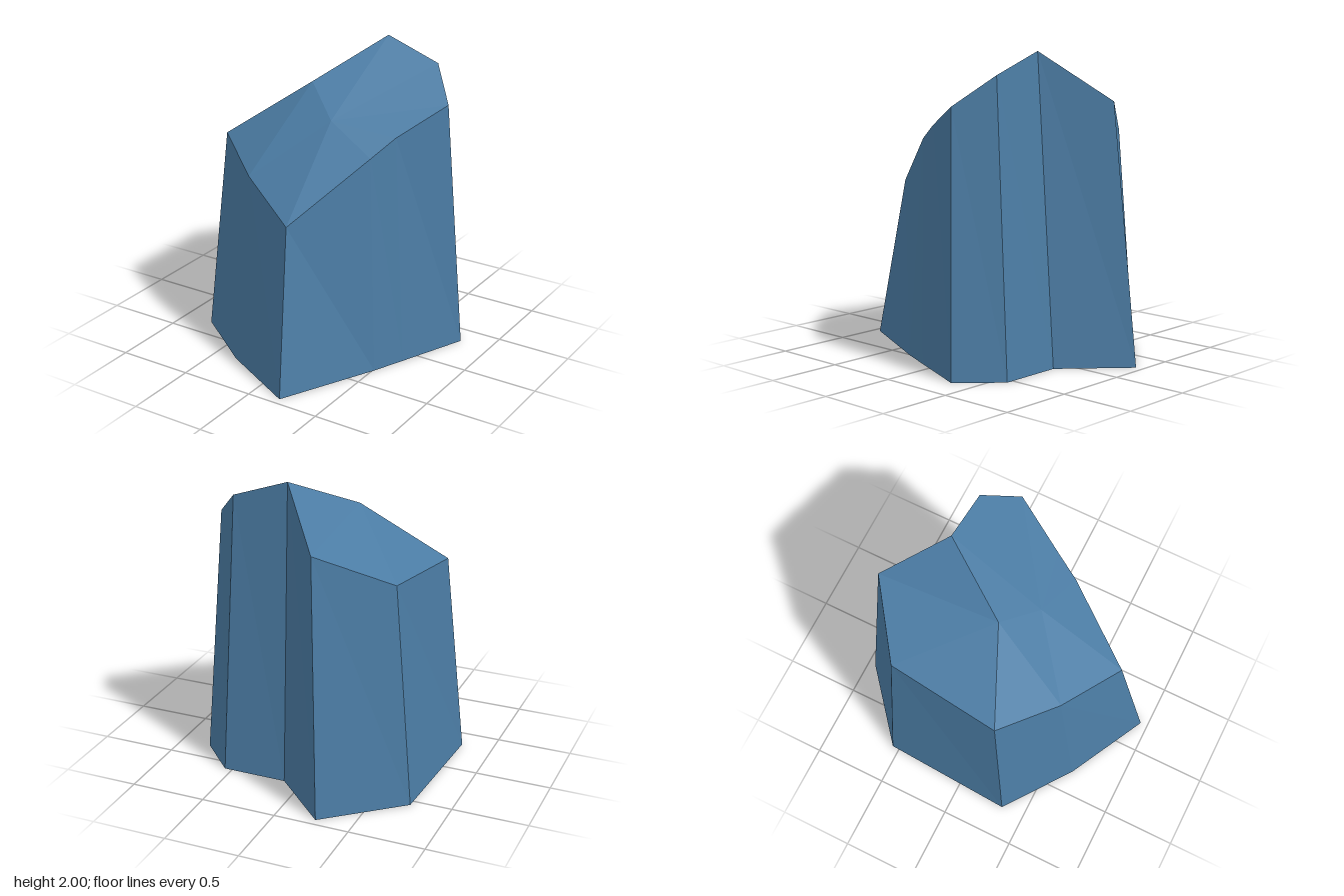
import * as THREE from 'three';

// Rock outline, clockwise from above: [base x, base z, rim x, rim y, rim z]
const RING = [
  [-0.26, -0.95, -0.18, 1.69, -0.81],
  [0.12, -0.585, 0.13, 2.0, -0.45],
  [0.55, -0.585, 0.50, 1.87, -0.45],
  [0.79, -0.34, 0.69, 1.68, -0.25],
  [0.60, 0.11, 0.51, 1.53, 0.09],
  [0.51, 0.32, 0.43, 1.43, 0.26],
  [0.20, 0.95, 0.13, 1.08, 0.75],
  [-0.34, 0.67, -0.31, 1.245, 0.52],
  [-0.79, 0.34, -0.68, 1.38, 0.24],
  [-0.74, -0.55, -0.61, 1.46, -0.51],
];

function facets(name, triangles, material) {
  const geometry = new THREE.BufferGeometry();
  geometry.setAttribute('position', new THREE.Float32BufferAttribute(triangles.flat(2), 3));
  geometry.computeVertexNormals();
  const mesh = new THREE.Mesh(geometry, material);
  mesh.name = name;
  return mesh;
}

export function createModel() {
  const group = new THREE.Group();
  group.name = 'rock';
  const stone = new THREE.MeshStandardMaterial({ color: 0x4b7ca4 });
  stone.name = 'blue stone';
  stone.flatShading = true;

  const n = RING.length;
  const base = RING.map(([x, z]) => [x, 0, z]);
  const rim = RING.map(([, , x, y, z]) => [x, y, z]);

  // Tapered sides
  const sides = [];
  for (let i = 0; i < n; i++) {
    const j = (i + 1) % n;
    sides.push([base[i], rim[i], rim[j]], [base[i], rim[j], base[j]]);
  }

  // Sloping top: two ridge points, each fanned to its share of the rim
  const ridge = [-0.16, 1.76, 0.01];
  const shoulder = [0.09, 1.59, 0.18];
  const top = [[shoulder, ridge, rim[7]], [shoulder, rim[1], ridge]];
  for (let i = 1; i <= n; i++) {
    const centre = i < 7 ? shoulder : ridge;
    top.push([centre, rim[(i + 1) % n], rim[i % n]]);
  }

  // Flat underside, fanned from the concave corner
  const bottom = [];
  for (let k = 2; k < n; k++) {
    bottom.push([base[1], base[k % n], base[(k + 1) % n]]);
  }

  group.add(
    facets('sides', sides, stone),
    facets('top', top, stone),
    facets('underside', bottom, stone),
  );
  return group;
}
